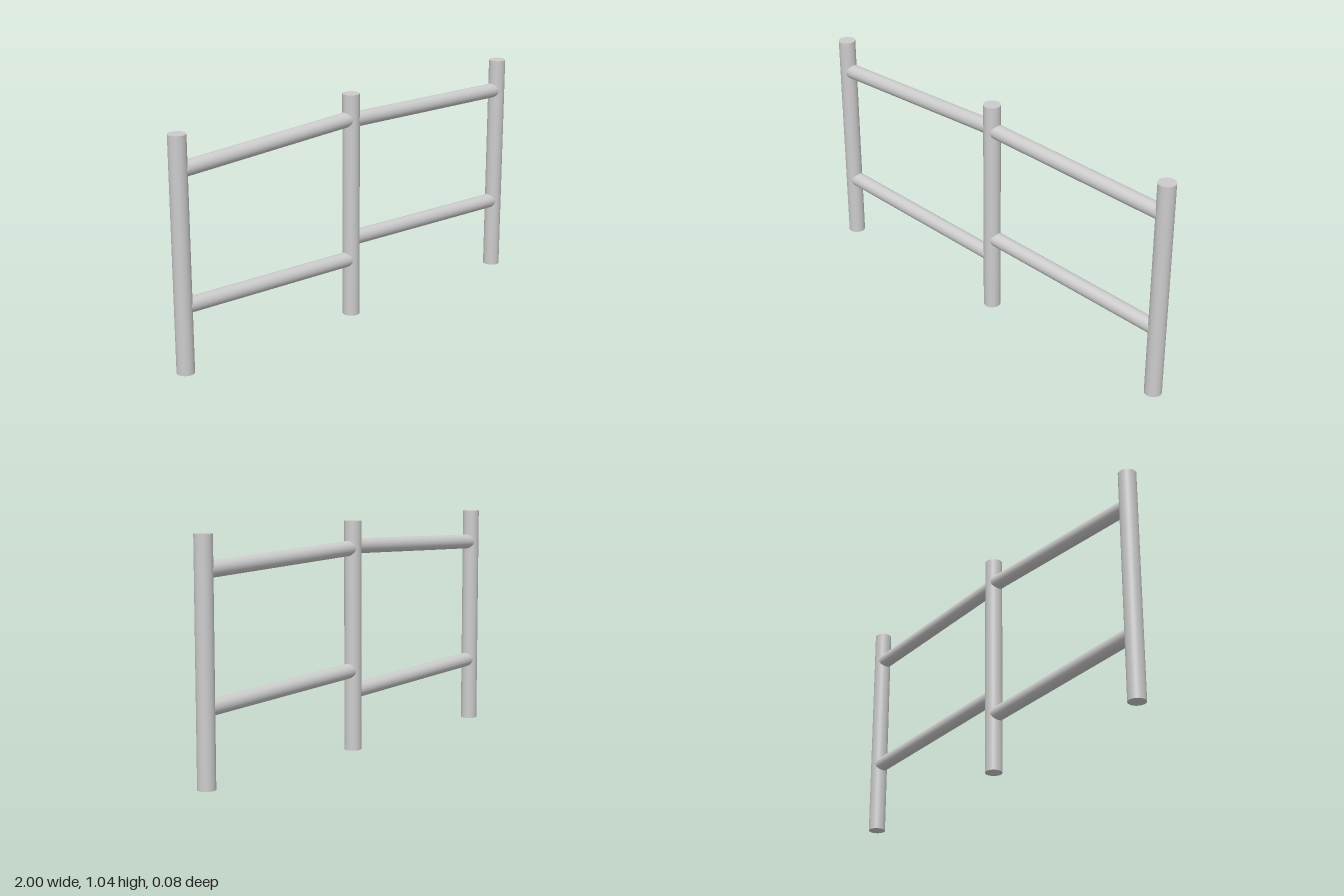
import * as THREE from 'three';

const POST_R = 0.039, POST_H = 1.043, RAIL_R = 0.034;
const POST_X = [-0.961, -0.006, 0.961];

// Each rail: index of its first post, then its height at both post centres
const RAILS = [
  ['upperRightRail', 0, 0.889, 0.929],
  ['lowerRightRail', 0, 0.299, 0.269],
  ['upperLeftRail', 1, 0.921, 0.895],
  ['lowerLeftRail', 1, 0.366, 0.333],
];

export function createModel() {
  const fence = new THREE.Group();
  fence.name = 'fence';
  const material = new THREE.MeshStandardMaterial({ color: 0xcccccc });

  // Round pole between two points
  const pole = (name, from, to, radius) => {
    const dir = to.clone().sub(from);
    const mesh = new THREE.Mesh(new THREE.CylinderGeometry(radius, radius, dir.length(), 32), material);
    mesh.name = name;
    mesh.position.copy(from).add(to).multiplyScalar(0.5);
    mesh.quaternion.setFromUnitVectors(new THREE.Vector3(0, 1, 0), dir.normalize());
    fence.add(mesh);
  };

  // Upright posts
  const postNames = ['rightPost', 'middlePost', 'leftPost'];
  POST_X.forEach((x, i) =>
    pole(postNames[i], new THREE.Vector3(x, 0, 0), new THREE.Vector3(x, POST_H, 0), POST_R));

  // Slightly sloping rails, their ends set into the posts
  for (const [name, i, y0, y1] of RAILS) {
    pole(name, new THREE.Vector3(POST_X[i], y0, 0), new THREE.Vector3(POST_X[i + 1], y1, 0), RAIL_R);
  }

  return fence;
}
